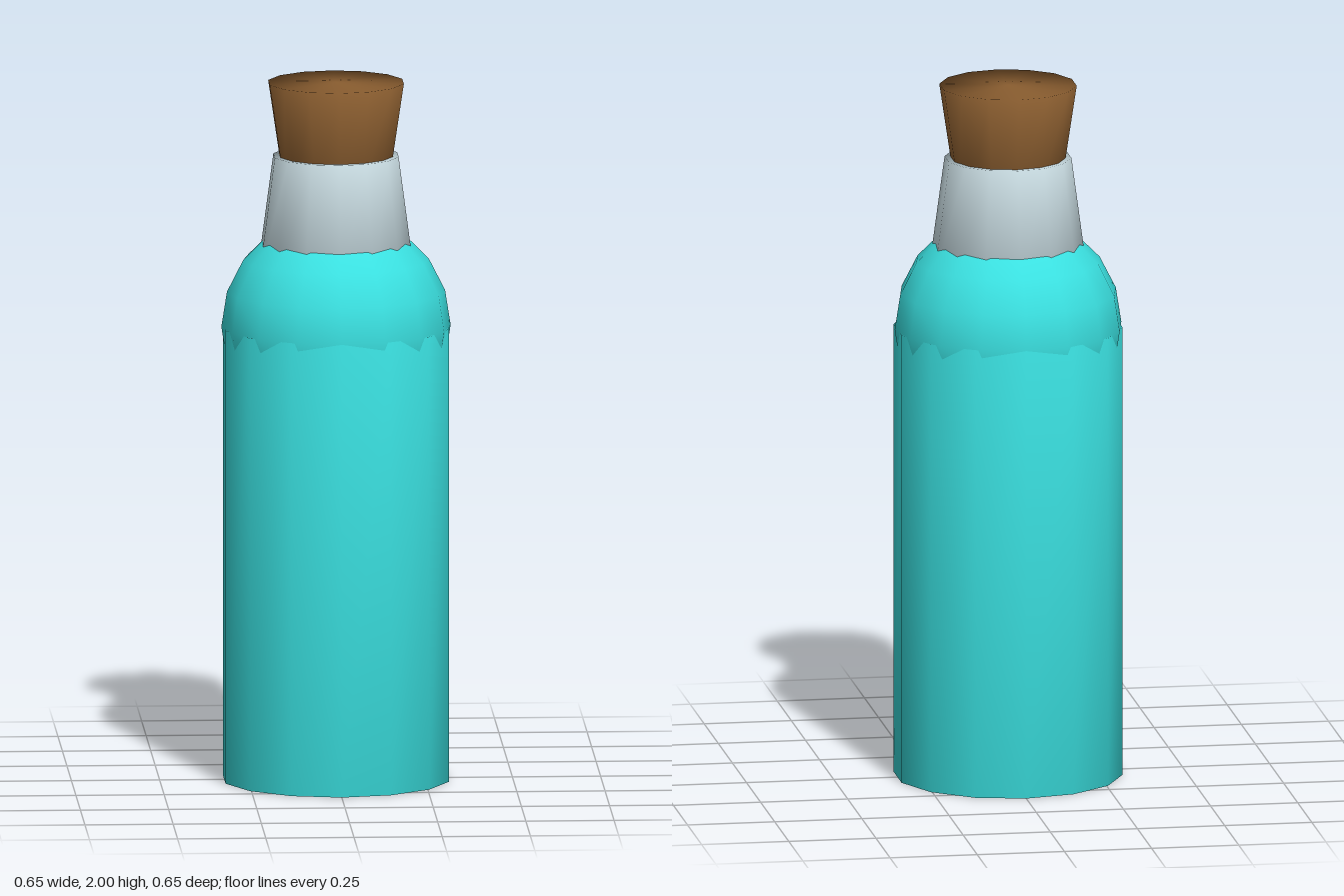
import * as THREE from 'three';
import { mergeVertices } from 'three/addons/utils/BufferGeometryUtils.js';

const SIDES = 14;

function material(name, color) {
  const m = new THREE.MeshStandardMaterial({ color });
  m.name = name;
  return m;
}

// Capped tapered cylinder whose normals are smoothed over the rims
function softCylinder(name, rTop, rBottom, yBottom, yTop, mat) {
  let geo = new THREE.CylinderGeometry(rTop, rBottom, yTop - yBottom, SIDES);
  geo.deleteAttribute('uv');
  geo.deleteAttribute('normal');
  geo = mergeVertices(geo, 1e-4);
  geo.computeVertexNormals();
  geo.translate(0, (yTop + yBottom) / 2, 0);
  const mesh = new THREE.Mesh(geo, mat);
  mesh.name = name;
  return mesh;
}

export function createModel() {
  const liquid = material('turquoise', 0x3ae0e0);
  const glass = material('pale glass', 0xc6d9df);
  const wood = material('cork brown', 0x8b5e30);

  const bottle = new THREE.Group();
  bottle.name = 'corkedBottle';

  // Straight body
  bottle.add(softCylinder('body', 0.325, 0.325, 0, 1.3, liquid));

  // Round shoulder: a ball sunk into the body, its sides poking out just below the rim
  const shoulder = new THREE.Mesh(new THREE.SphereGeometry(0.325, 16, 10), liquid);
  shoulder.name = 'shoulder';
  shoulder.position.y = 1.3;
  bottle.add(shoulder);

  // Tapered neck and flared stopper
  bottle.add(softCylinder('neck', 0.18, 0.226, 1.45, 1.79, glass));
  bottle.add(softCylinder('cork', 0.195, 0.15, 1.7, 2, wood));

  return bottle;
}
